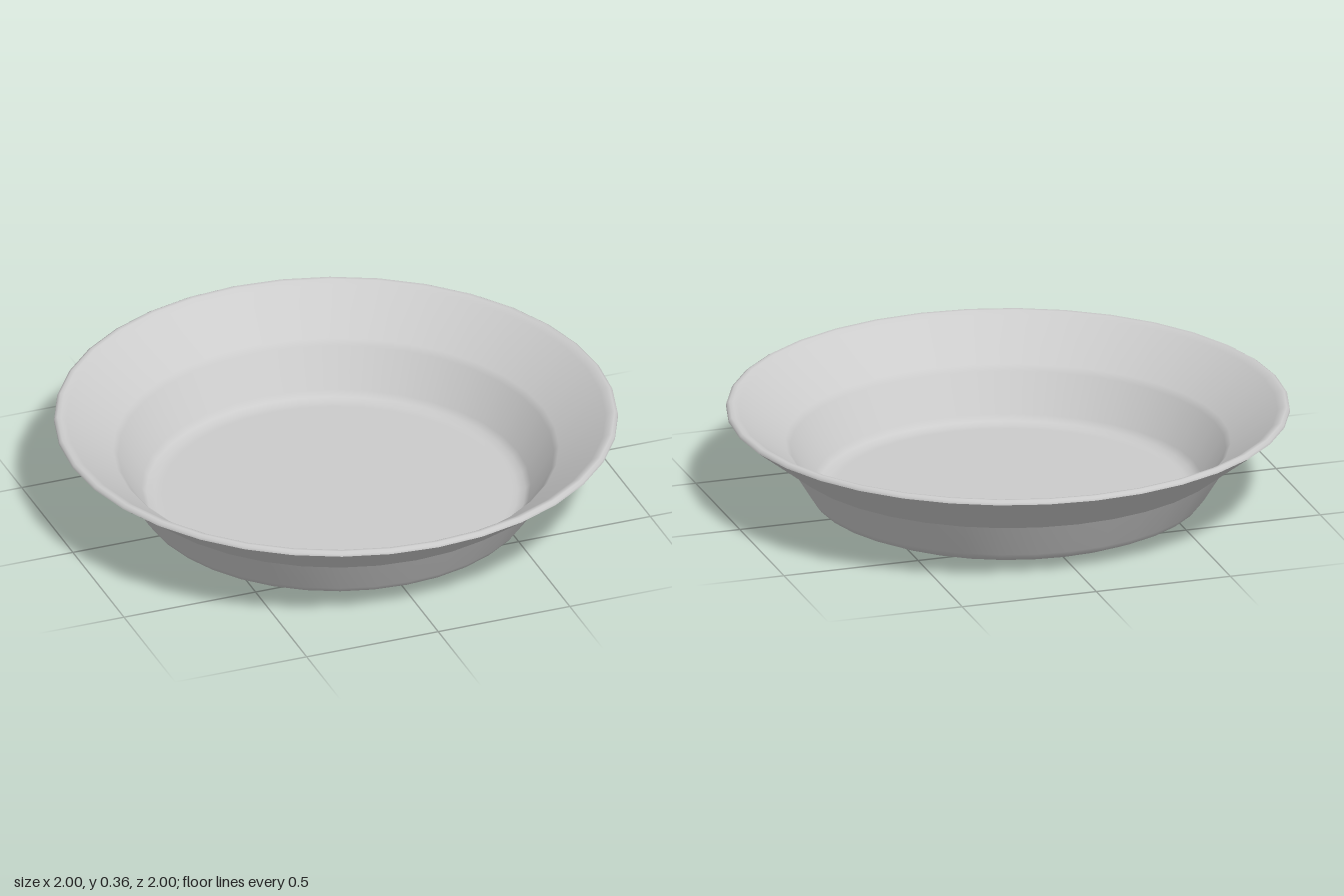
import * as THREE from 'three';

const SIDES = 36;

export function createModel() {
  const group = new THREE.Group();
  group.name = 'dish';
  const material = new THREE.MeshStandardMaterial({ color: 0xcccccc });

  // Revolves a profile of [radius, height] points; each band is smooth, with sharp edges between bands.
  const revolve = (name, profile) => {
    const points = profile.map(([r, y]) => new THREE.Vector2(r, y));
    const mesh = new THREE.Mesh(new THREE.LatheGeometry(points, SIDES), material);
    mesh.name = name;
    group.add(mesh);
  };

  // Underside and steep lower wall, up to the sharp outer step
  revolve('baseAndLowerWall', [
    [0, 0], [0.61, 0], [0.64, 0.005], [0.695, 0.03], [0.71, 0.05], [0.79, 0.18],
  ]);

  // Flared outer wall up to the lip
  revolve('flaredOuterWall', [
    [0.79, 0.18], [0.96, 0.312], [0.985, 0.331], [1, 0.343],
  ]);

  // Rounded lip, inner walls and the flat floor
  revolve('lipAndInside', [
    [1, 0.343], [0.998, 0.352], [0.988, 0.358], [0.975, 0.357], [0.955, 0.345],
    [0.79, 0.22], [0.772, 0.2], [0.69, 0.068], [0.672, 0.048], [0.645, 0.04],
    [0.62, 0.04], [0, 0.04],
  ]);

  return group;
}
